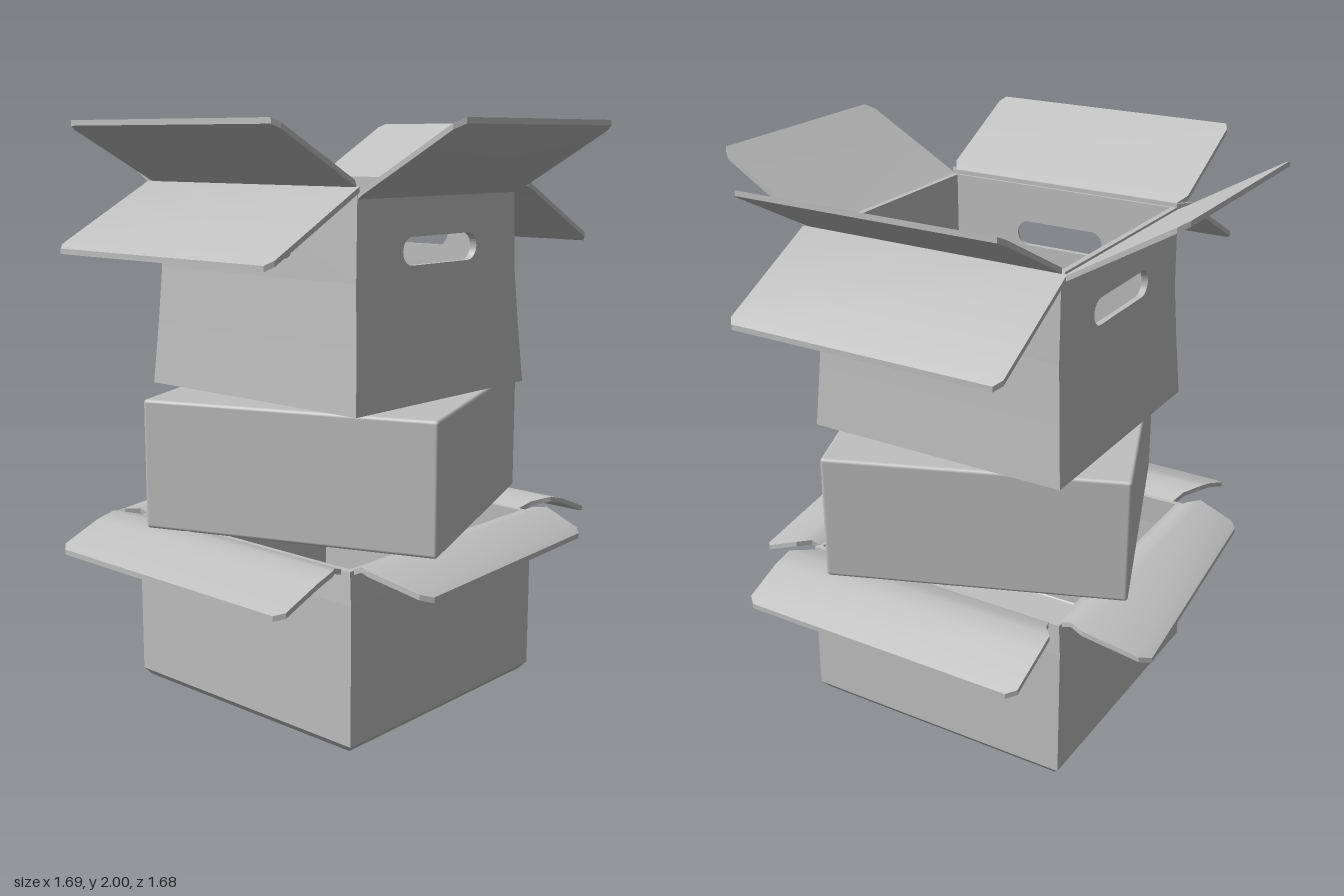
import * as THREE from 'three';
import { toCreasedNormals } from 'three/addons/utils/BufferGeometryUtils.js';
import { RoundedBoxGeometry } from 'three/addons/geometries/RoundedBoxGeometry.js';

const cardboard = new THREE.MeshStandardMaterial({ color: 0xc0c0c0 });
cardboard.name = 'cardboard';

const T = 0.02; // board thickness
const { lerp } = THREE.MathUtils;

function add(parent, geometry, name) {
  const mesh = new THREE.Mesh(geometry, cardboard);
  mesh.name = name;
  parent.add(mesh);
  return mesh;
}

// Rounded slot for a hand hole: half width, bottom and top heights
function slot([half, y0, y1]) {
  const r = (y1 - y0) / 2, c = half - r, y = y0 + r;
  const path = new THREE.Path();
  path.absarc(c, y, r, -Math.PI / 2, Math.PI / 2, false);
  path.absarc(-c, y, r, Math.PI / 2, Math.PI * 1.5, false);
  path.closePath();
  return path;
}

// One leaning strip of wall, mitred at its ends; a and b are { y, w: half width, out }
function wallStrip(a, b, hole) {
  const shape = new THREE.Shape([
    new THREE.Vector2(-a.w, a.y), new THREE.Vector2(a.w, a.y),
    new THREE.Vector2(b.w, b.y), new THREE.Vector2(-b.w, b.y),
  ]);
  if (hole) shape.holes.push(slot(hole));
  const geo = new THREE.ExtrudeGeometry(shape, { depth: T, bevelEnabled: false, curveSegments: 10 });
  const p = geo.attributes.position;
  for (let i = 0; i < p.count; i++) {
    const y = p.getY(i), k = (y - a.y) / (b.y - a.y), d = T - p.getZ(i);
    p.setX(i, p.getX(i) * (1 - d / lerp(a.w, b.w, k)));
    p.setZ(i, lerp(a.out, b.out, k) - d);
  }
  geo.computeVertexNormals();
  return geo;
}

// Flap swept outward along rows of [out, y, half length]; skew and tilt make it crooked
function flapGeometry(rows, skew = 0, tilt = 0, thick = 0.018) {
  const n = rows.length - 1;
  const geo = new THREE.BoxGeometry(2, thick, 1, 1, 1, n);
  const p = geo.attributes.position;
  for (let i = 0; i < p.count; i++) {
    const j = Math.round((p.getZ(i) + 0.5) * n), [out, y, half] = rows[j];
    const x = p.getX(i) * half;
    const u = (out - rows[0][0]) / (rows[n][0] - rows[0][0]);
    p.setXYZ(i, x, y + p.getY(i) - tilt * x * u, out - skew * x * u);
  }
  return toCreasedNormals(geo, 0.5);
}

// Open box: levels are [y, half x, half z]; sides go front, left, back, right
function openBox(name, levels, sides) {
  const box = new THREE.Group();
  box.name = name;
  const labels = ['front', 'left', 'back', 'right'];
  sides.forEach((side, s) => {
    const g = new THREE.Group();
    g.name = labels[s] + 'Side';
    g.rotation.y = s * Math.PI / 2;
    const at = ([y, hx, hz]) => (s % 2 ? { y, w: hz, out: hx } : { y, w: hx, out: hz });
    for (let i = 0; i + 1 < levels.length; i++) {
      const last = i + 2 === levels.length;
      add(g, wallStrip(at(levels[i]), at(levels[i + 1]), last ? side.hole : null), 'wall');
    }
    for (const f of side.flaps) add(g, flapGeometry(f.rows, f.skew, f.tilt), 'flap');
    box.add(g);
  });
  const [y, hx, hz] = levels[0];
  const floor = add(box, new THREE.BoxGeometry(hx * 2 - 0.01, T, hz * 2 - 0.01), 'floor');
  floor.position.y = y + T / 2 + 0.001;
  return box;
}

export function createModel() {
  const model = new THREE.Group();
  model.name = 'stackedBoxes';

  // Bottom box, flaps drooping outward
  const lowEnd = {
    hole: [0.15, 0.545, 0.592],
    flaps: [{
      rows: [[0.49, 0.6, 0.47], [0.53, 0.62, 0.48], [0.58, 0.625, 0.52], [0.745, 0.585, 0.52], [0.775, 0.575, 0.49]],
      skew: 0.12, tilt: 0.04,
    }],
  };
  const lowSide = {
    flaps: [{
      rows: [[0.485, 0.6, 0.46], [0.54, 0.62, 0.48], [0.6, 0.634, 0.525], [0.67, 0.615, 0.53], [0.81, 0.558, 0.53], [0.835, 0.548, 0.5]],
    }],
  };
  const bottom = openBox('bottomBox',
    [[0, 0.475, 0.485], [0.025, 0.495, 0.508], [0.5, 0.495, 0.508], [0.61, 0.49, 0.5]],
    [lowEnd, lowSide, lowEnd, lowSide]);
  bottom.position.x = -0.012;
  model.add(bottom);

  // Middle box, closed and turned
  const middle = add(model, new RoundedBoxGeometry(1.02, 0.445, 1.03, 2, 0.012), 'middleBox');
  middle.position.set(-0.01, 0.862, 0.018);
  middle.rotation.y = 0.373;

  // Top box with hand holes; ends have raised flaps, sides a raised and a hanging flap
  const topEnd = {
    hole: [0.195, 1.54, 1.632],
    flaps: [{ rows: [[0.445, 1.765, 0.41], [0.475, 1.78, 0.425], [0.81, 1.974, 0.415], [0.84, 1.991, 0.39]] }],
  };
  const topSide = {
    hole: [0.18, 1.56, 1.65],
    flaps: [
      { rows: [[0.405, 1.785, 0.44], [0.45, 1.81, 0.47], [0.765, 1.977, 0.47], [0.79, 1.99, 0.455]] },
      { rows: [[0.405, 1.79, 0.45], [0.45, 1.787, 0.485], [0.815, 1.592, 0.49], [0.84, 1.578, 0.47]] },
    ],
  };
  model.add(openBox('topBox',
    [[1.09, 0.45, 0.478], [1.3, 0.434, 0.464], [1.5, 0.422, 0.452], [1.785, 0.415, 0.45]],
    [topEnd, topSide, topEnd, topSide]));

  return model;
}
